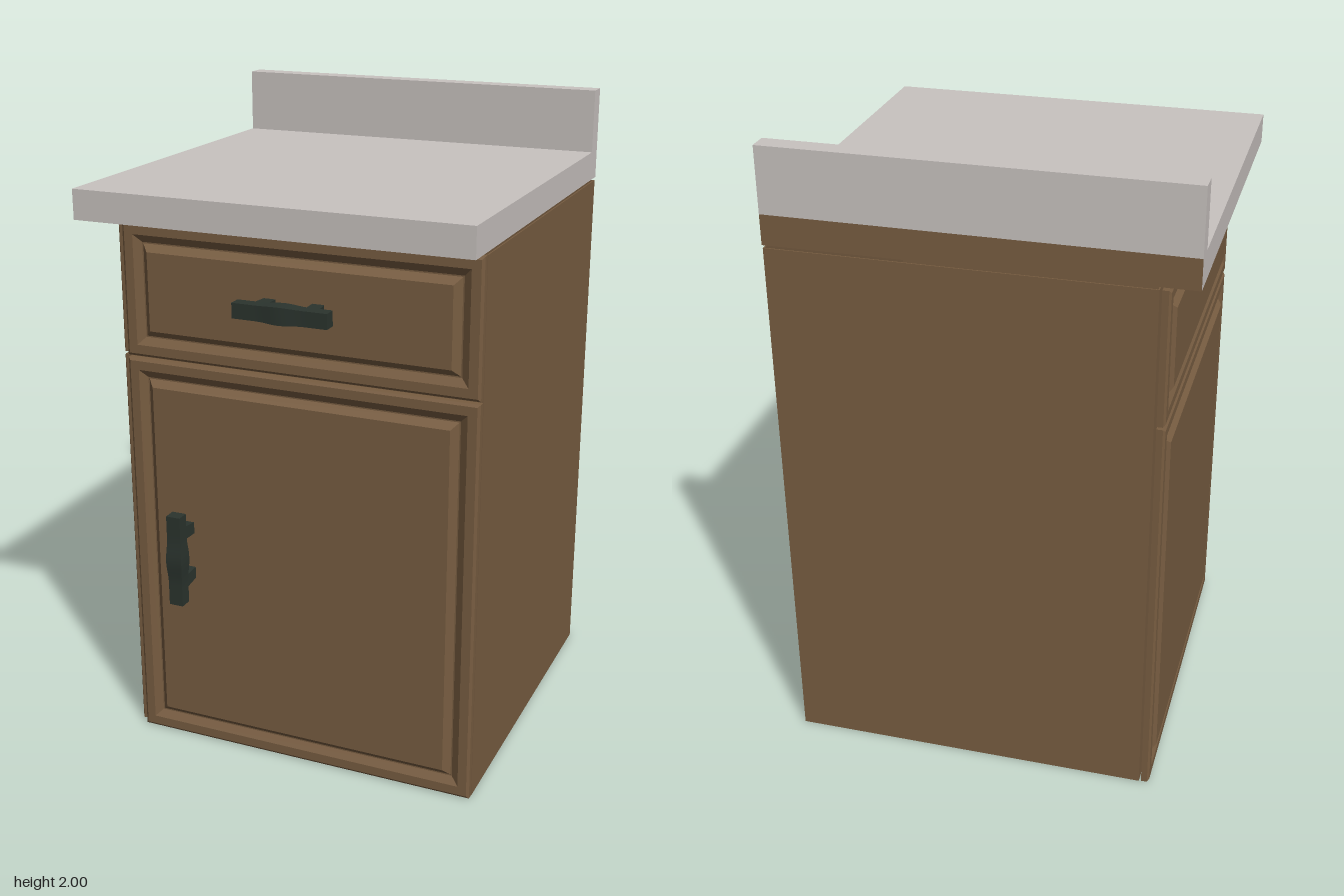
import * as THREE from 'three';

const flat = (name, color, side = THREE.FrontSide) => {
  const m = new THREE.MeshStandardMaterial({ color, side });
  m.name = name;
  return m;
};

// Closed raised panel: nested rectangles [inset, height], capped at both ends.
function raisedPanel(w, h) {
  const rings = [[0, 0], [0, 0.019], [0.008, 0.025], [0.036, 0.025], [0.06, 0.01], [0.064, 0.01], [0.085, 0.03]]
    .map(([i, z]) => {
      const x = w / 2 - i, y = h / 2 - i;
      return [[-x, -y, z], [x, -y, z], [x, y, z], [-x, y, z]];
    });
  const pos = [];
  const quad = (a, b, c, d) => pos.push(...a, ...b, ...c, ...a, ...c, ...d);
  for (let r = 0; r < rings.length - 1; r++) {
    for (let k = 0; k < 4; k++) {
      const n = (k + 1) % 4;
      quad(rings[r][k], rings[r][n], rings[r + 1][n], rings[r + 1][k]);
    }
  }
  quad(...rings[rings.length - 1]);
  quad(...rings[0].slice().reverse());
  const g = new THREE.BufferGeometry();
  g.setAttribute('position', new THREE.Float32BufferAttribute(pos, 3));
  g.computeVertexNormals();
  return g;
}

// Upright pull: a bar swelling at the middle, on two slanted posts.
function makeHandle(name, material) {
  const handle = new THREE.Group();
  handle.name = name;
  const bar = new THREE.BoxGeometry(0.046, 0.296, 0.04, 1, 16, 1);
  const p = bar.attributes.position;
  for (let i = 0; i < p.count; i++) {
    const t = Math.abs(p.getY(i)) / 0.148;
    const swell = t < 0.5 ? 0.5 + 0.5 * Math.cos(t * 2 * Math.PI) : 0;
    p.setX(i, p.getX(i) * (1 + 0.15 * swell));
    p.setZ(i, p.getZ(i) * (1 + 0.3 * swell));
  }
  bar.computeVertexNormals();
  const barMesh = new THREE.Mesh(bar, material);
  barMesh.name = 'handleBar';
  barMesh.position.z = 0.082;
  handle.add(barMesh);
  for (const s of [-1, 1]) {
    const g = new THREE.BoxGeometry(0.034, 0.036, 0.08);
    const q = g.attributes.position;
    for (let i = 0; i < q.count; i++) if (q.getZ(i) > 0) q.setY(i, q.getY(i) * 1.2 + s * 0.008);
    g.computeVertexNormals();
    const post = new THREE.Mesh(g, material);
    post.name = 'handlePost';
    post.position.set(0, s * 0.075, 0.03);
    handle.add(post);
  }
  return handle;
}

export function createModel() {
  const root = new THREE.Group();
  root.name = 'baseCabinet';
  const wood = flat('brown wood', 0x785d41);
  const stone = flat('pale grey counter', 0xc9c3c0);
  const iron = flat('dark iron', 0x2b342e);

  const box = (name, mat, x0, x1, y0, y1, z0, z1) => {
    const m = new THREE.Mesh(new THREE.BoxGeometry(x1 - x0, y1 - y0, z1 - z0), mat);
    m.name = name;
    m.position.set((x0 + x1) / 2, (y0 + y1) / 2, (z0 + z1) / 2);
    root.add(m);
  };

  // Hollow carcass, open underneath
  const T = 0.004, top = 1.698;
  box('rightWall', wood, -0.51, -0.51 + T, 0, top, -0.632, 0.498);
  box('leftWall', wood, 0.617 - T, 0.617, 0, top, -0.632, 0.498);
  box('backWall', wood, -0.51 + T, 0.617 - T, 0, top, -0.632, -0.632 + T);
  box('frontWall', wood, -0.51 + T, 0.617 - T, 0, top, 0.498 - T, 0.498);

  // Worktop: wooden underside and back edge; face order is +x -x +y -y +z -z
  box('worktop', [stone, stone, stone, wood, stone, wood], -0.622, 0.618, 1.708, 1.8, -0.635, 0.605);
  box('backsplash', stone, -0.622, 0.618, 1.8, 2, -0.635, -0.573);

  // Door and drawer panels on the front and on the right side
  for (const [label, y0, y1] of [['Door', 0.002, 1.277], ['Drawer', 1.285, top]]) {
    const front = new THREE.Mesh(raisedPanel(1.127, y1 - y0), wood);
    front.name = 'front' + label;
    front.position.set(0.0535, (y0 + y1) / 2, 0.502);
    const side = new THREE.Mesh(raisedPanel(1.128, y1 - y0), wood);
    side.name = 'side' + label;
    side.rotation.y = -Math.PI / 2;
    side.position.set(-0.517, (y0 + y1) / 2, -0.068);
    root.add(front, side);
  }

  // Handles
  const doorHandle = makeHandle('doorHandle', iron);
  doorHandle.position.set(-0.316, 0.673, 0.53);
  const drawerHandle = makeHandle('drawerHandle', iron);
  drawerHandle.rotation.z = Math.PI / 2;
  drawerHandle.position.set(0.052, 1.498, 0.53);
  root.add(doorHandle, drawerHandle);

  return root;
}
